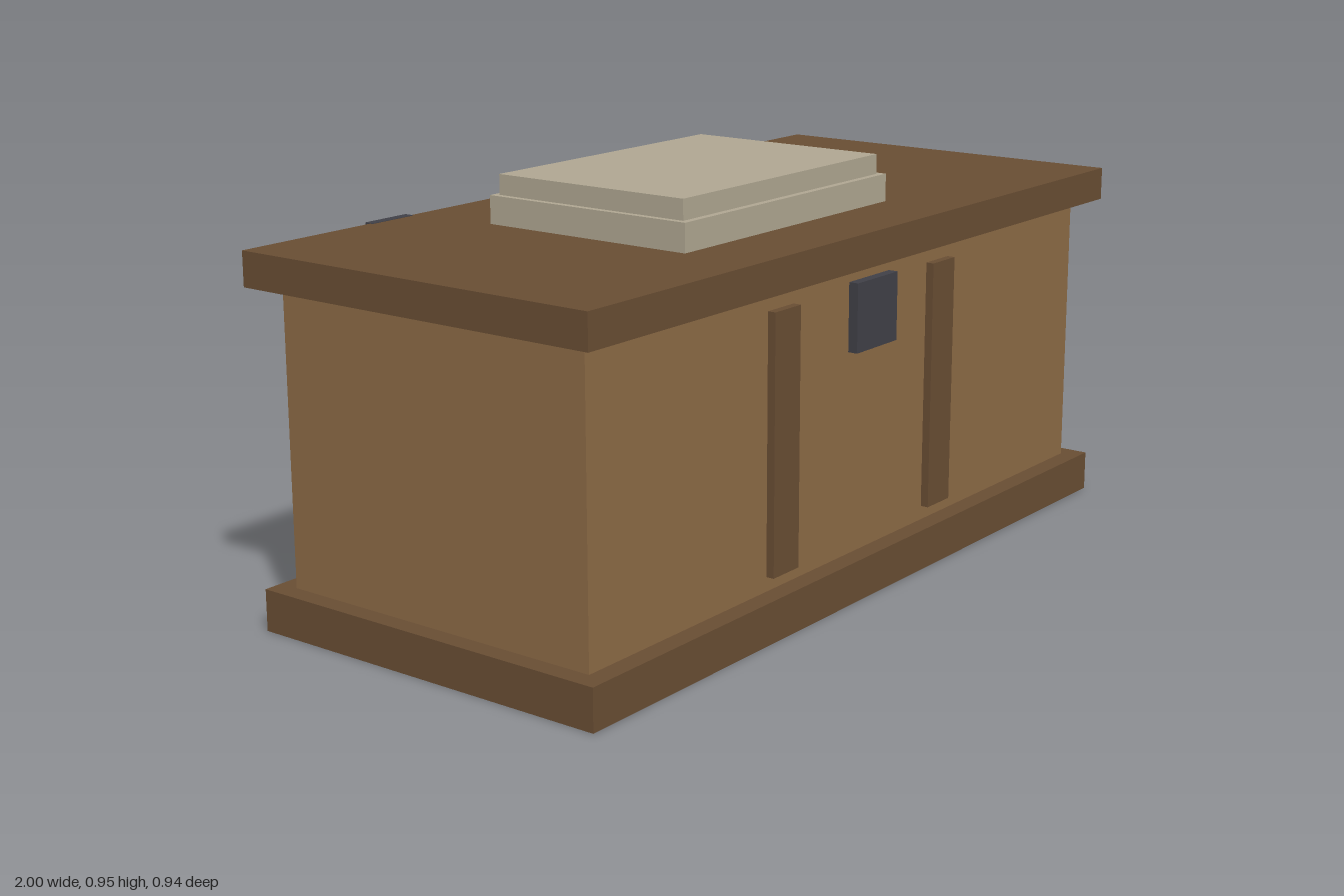
import * as THREE from 'three';

const material = (name, color) => {
  const m = new THREE.MeshStandardMaterial({ color });
  m.name = name;
  return m;
};

export function createModel() {
  const wood = material('wood', 0x8c6a45);
  const darkWood = material('darkWood', 0x684d33);
  const iron = material('iron', 0x404047);
  const paleStone = material('paleStone', 0xafa691);

  const group = new THREE.Group();
  group.name = 'chest';

  // Box given by its extents along each axis
  const box = (name, mat, [x0, x1], [y0, y1], [z0, z1]) => {
    const mesh = new THREE.Mesh(new THREE.BoxGeometry(x1 - x0, y1 - y0, z1 - z0), mat);
    mesh.position.set((x0 + x1) / 2, (y0 + y1) / 2, (z0 + z1) / 2);
    mesh.name = name;
    group.add(mesh);
  };

  // Chest carcass
  box('base', darkWood, [-0.99, 0.99], [0, 0.095], [-0.448, 0.465]);
  box('body', wood, [-0.945, 0.945], [0.095, 0.758], [-0.4, 0.418]);
  box('lid', darkWood, [-1, 1], [0.758, 0.836], [-0.457, 0.473]);

  // Front slats and back hinges, mirrored left and right
  for (const [side, s] of [['left', 1], ['right', -1]]) {
    const span = (a, b) => (s > 0 ? [a, b] : [-b, -a]);
    box(side + 'Slat', darkWood, span(0.264, 0.356), [0.128, 0.71], [0.418, 0.437]);
    box(side + 'Hinge', iron, span(0.506, 0.631), [0.57, 0.837], [-0.472, -0.449]);
  }

  // Latch plate
  box('latch', iron, [-0.079, 0.079], [0.57, 0.726], [0.435, 0.458]);

  // Stepped slab resting on the lid
  box('lowerSlab', paleStone, [-0.475, 0.281], [0.836, 0.9], [-0.244, 0.293]);
  box('upperSlab', paleStone, [-0.46, 0.265], [0.9, 0.946], [-0.229, 0.277]);

  return group;
}
